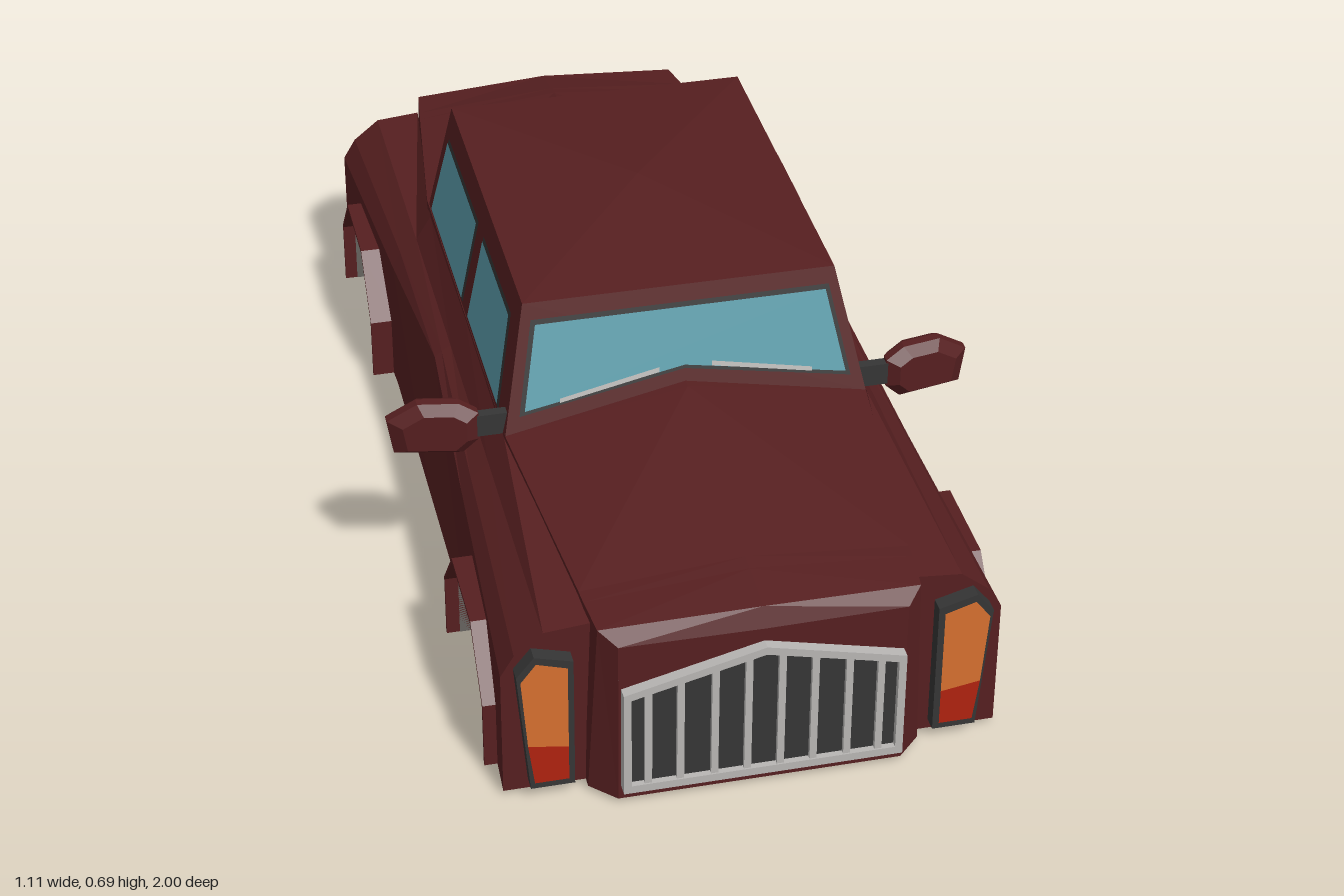
import * as THREE from 'three';

const mat = (name, color) => {
  const m = new THREE.MeshStandardMaterial({ color, side: THREE.DoubleSide });
  m.name = name;
  return m;
};

export function createModel() {
  const red = mat('body maroon', 0x561f20);
  const dark = mat('dark trim', 0x353535);
  const glass = mat('glass', 0x5c9dab);
  const silver = mat('silver', 0xb8b6b4);
  const plateMat = mat('plate white', 0xdededc);
  const grey = mat('underside grey', 0x66635f);
  const orange = mat('amber lamp', 0xd67030);
  const lampRed = mat('red lamp', 0xb0220f);

  const model = new THREE.Group();
  model.name = 'sedanBody';
  const add = (parent, name, geo, material) => {
    const m = new THREE.Mesh(geo, material);
    m.name = name;
    parent.add(m);
    return m;
  };
  const vec = pts => pts.map(p => new THREE.Vector2(...p));
  const shapeOf = (pts, hole) => {
    const s = new THREE.Shape(vec(pts));
    if (hole) s.holes.push(new THREE.Path(vec(hole)));
    return s;
  };

  // Moves every vertex by a rule, then gives flat normals
  const bend = (geo, map) => {
    const g = geo.index ? geo.toNonIndexed() : geo;
    const p = g.attributes.position;
    for (let i = 0; i < p.count; i++) p.setXYZ(i, ...map(p.getX(i), p.getY(i), p.getZ(i)));
    g.computeVertexNormals();
    return g;
  };
  const panel = (pts, map) => bend(new THREE.ShapeGeometry(shapeOf(pts)), map);
  const slab = (pts, depth, map, hole) =>
    bend(new THREE.ExtrudeGeometry(shapeOf(pts, hole), { depth, bevelEnabled: false }), map);

  // Flat-shaded skin over rows of points
  const loft = rows => {
    const v = [];
    for (let i = 0; i < rows.length - 1; i++)
      for (let j = 0; j < rows[i].length - 1; j++) {
        const a = rows[i][j], b = rows[i + 1][j], c = rows[i + 1][j + 1], d = rows[i][j + 1];
        v.push(...a, ...b, ...c, ...a, ...c, ...d);
      }
    const g = new THREE.BufferGeometry();
    g.setAttribute('position', new THREE.Float32BufferAttribute(v, 3));
    g.computeVertexNormals();
    return g;
  };
  const withMirror = pts => [...pts, ...pts.filter(p => p[0] !== 0).reverse().map(([x, y]) => [-x, y])];

  // Wheel arch outline as (distance along z, y), and the lip just inside it
  const arch = [[0.835, 0.01], [0.833, 0.145], [0.73, 0.257], [0.54, 0.257], [0.44, 0.14], [0.44, 0.01]];
  const archLip = [[0.828, 0.01], [0.826, 0.143], [0.727, 0.25], [0.543, 0.25], [0.447, 0.138], [0.447, 0.01]];
  const sideX = u => 0.43 + 0.025 * Math.max(0, (Math.abs(u) - 0.4) / 0.51);
  const wellX = 0.27;

  for (const s of [1, -1]) {
    const half = new THREE.Group();
    half.name = s > 0 ? 'leftSide' : 'rightSide';
    half.scale.x = s;
    model.add(half);

    // Hood, cowl and trunk skin
    add(half, 'hoodAndTrunk', loft([
      [[0.26, 0.01, 0.975], [0.26, 0.355, 0.98], [0, 0.352, 0.98]],
      [[0.305, 0.01, 0.93], [0.29, 0.374, 0.948], [0, 0.39, 0.965]],
      [[0.305, 0.01, 0.87], [0.298, 0.377, 0.87], [0, 0.401, 0.87]],
      [[0.3, 0.26, 0.84], [0.3, 0.378, 0.84], [0, 0.405, 0.84]],
      [[0.345, 0.26, 0.4], [0.345, 0.412, 0.4], [0, 0.472, 0.4]],
      [[0.345, 0.26, -0.45], [0.345, 0.418, -0.45], [0, 0.494, -0.45]],
      [[0.3, 0.26, -0.84], [0.295, 0.383, -0.84], [0, 0.412, -0.84]],
      [[0.305, 0.01, -0.87], [0.291, 0.381, -0.87], [0, 0.406, -0.87]],
      [[0.3, 0.01, -0.92], [0.28, 0.374, -0.952], [0, 0.387, -0.962]],
      [[0.262, 0.01, -0.955], [0.262, 0.31, -0.987], [0, 0.325, -0.987]],
    ]), red);

    // Fender shoulder, rising and tucking in towards the middle of the doors
    const end = z => [[0.455, 0.27, z], [0.43, 0.312, z], [0.378, 0.354, z], [0.29, 0.362, z]];
    const hinge = z => [[0.43, 0.3, z], [0.412, 0.33, z], [0.378, 0.358, z], [0.347, 0.408, z]];
    const middle = [[0.41, 0.336, 0], [0.396, 0.348, 0], [0.378, 0.358, 0], [0.347, 0.415, 0]];
    add(half, 'shoulder', loft([end(0.91), hinge(0.4), middle, hinge(-0.4), end(-0.906)]), red);

    // Doors
    add(half, 'doors', loft([hinge(0.4), middle, hinge(-0.4)].map(([p]) => [[0.43, 0.01, p[2]], p])), red);

    for (const [e, tag, zEnd, lampDepth] of [[1, 'front', 0.91, 0.028], [-1, 'rear', 0.906, 0.015]]) {
      // Fender side with arch opening
      add(half, tag + 'Fender', panel(
        [[zEnd, 0.01], ...arch, [0.4, 0.01], [0.4, 0.3], [zEnd, 0.27]].map(([z, y]) => [-z * e, y]),
        (u, v) => [sideX(u), v, -u]), red);
      // Arch flare
      add(half, tag + 'ArchFlare', slab(
        [...arch, ...[...archLip].reverse()].map(([z, y]) => [-z * e, y]), 0.055,
        (u, v, w) => [0.42 + w, v, -u]), red);
      // Wheel well
      add(half, tag + 'WheelWell', loft([0.45, wellX].map(x => archLip.map(([z, y]) => [x, y - 0.001, z * e]))), grey);
      add(half, tag + 'WellWall', panel(arch.map(([z, y]) => [-z * e, y]), (u, v) => [wellX, v, -u]), grey);

      // Lamp cluster on the fender end
      const lamp = new THREE.Group();
      lamp.name = tag + 'Lamp';
      lamp.scale.z = e;
      half.add(lamp);
      const onLamp = z => (u, v) => [u, v, z];
      const zLens = zEnd + lampDepth + 0.003;
      add(lamp, 'fenderEnd', panel(
        [[0.26, 0.01], [0.455, 0.01], [0.455, 0.27], [0.43, 0.312], [0.378, 0.354], [0.29, 0.362]],
        onLamp(zEnd)), red);
      add(lamp, 'lampFrame', slab([[0.33, 0.03], [0.41, 0.03], [0.432, 0.285], [0.4, 0.325], [0.33, 0.305]], lampDepth,
        (u, v, w) => [u, v, zEnd + w]), dark);
      add(lamp, 'amberLens', panel([[0.341, 0.118], [0.414, 0.13], [0.425, 0.275], [0.397, 0.312], [0.341, 0.294]],
        onLamp(zLens)), orange);
      add(lamp, 'redLens', panel([[0.341, 0.044], [0.403, 0.044], [0.414, 0.13], [0.341, 0.118]],
        onLamp(zLens)), lampRed);
    }

    // Side windows
    const onSide = off => (u, v) => [0.345 - 0.05 * (v - 0.41) / 0.245 + off, v, -u];
    const sideWindows = {
      frontWindow: [[[-0.332, 0.427], [-0.012, 0.427], [-0.012, 0.605], [-0.285, 0.605]],
        [[-0.324, 0.433], [-0.018, 0.433], [-0.018, 0.599], [-0.281, 0.599]]],
      rearWindow: [[[0.042, 0.427], [0.397, 0.427], [0.367, 0.605], [0.042, 0.605]],
        [[0.048, 0.433], [0.389, 0.433], [0.362, 0.599], [0.048, 0.599]]],
    };
    for (const [name, [frame, pane]] of Object.entries(sideWindows)) {
      add(half, name + 'Frame', panel(frame, onSide(0.003)), dark);
      add(half, name, panel(pane, onSide(0.006)), glass);
    }

    // Door mirror, swept back towards its tip
    const arm = add(half, 'mirrorArm', new THREE.BoxGeometry(0.09, 0.045, 0.02), dark);
    arm.position.set(0.375, 0.428, 0.37);
    const sweep = z => (u, v, w) => [u, v, z + w - 0.2 * (u - 0.39)];
    const housing = [[0.39, 0.4], [0.42, 0.37], [0.545, 0.37], [0.556, 0.44], [0.5, 0.477], [0.425, 0.478], [0.39, 0.457]];
    const inner = k => housing.map(([x, y]) => [0.47 + (x - 0.47) * k, 0.424 + (y - 0.424) * k]);
    const ring = (k, z) => [...inner(k), inner(k)[0]].map(([x, y]) => sweep(z)(x, y, 0)).reverse();
    add(half, 'mirrorHousing', loft([ring(0.85, 0.345), ring(1, 0.36), ring(1, 0.378), ring(0.7, 0.398), ring(0, 0.398)]), red);
    add(half, 'mirrorBack', panel(inner(0.85), sweep(0.345)), dark);
    add(half, 'mirrorGlass', panel(inner(0.72).map(([x, y]) => [-x, y]), (u, v) => sweep(0.342)(-u, v, 0)), glass);

    // Tail vent
    const vent = add(half, 'tailVent', new THREE.BoxGeometry(0.215, 0.027, 0.03), dark);
    vent.position.set(0.132, 0.25, -0.984);
    vent.rotation.z = 0.1;

    // Wiper
    add(half, 'wiper', panel([[0.24, 0.468], [0.24, 0.476], [0.05, 0.511], [0.05, 0.502]],
      (u, v) => [u, v, 0.412 - 0.07 * (v - 0.41) / 0.245]), silver);
  }

  // Cabin with a low pyramid roof
  const corners = (x, y, zf, zb) => [[x, y, zb], [x, y, zf], [-x, y, zf], [-x, y, zb], [x, y, zb]];
  add(model, 'cabin', loft([
    corners(0.345, 0.41, 0.4, -0.435), corners(0.295, 0.652, 0.33, -0.405), corners(0, 0.687, -0.02, -0.02),
  ]), red);

  // Windshield and rear window
  const onFront = off => (u, v) => [u, v, 0.4 - 0.07 * (v - 0.41) / 0.242 + off];
  const onBack = off => (u, v) => [-u, v, -0.435 + 0.03 * (v - 0.41) / 0.242 - off];
  for (const [name, map, lift] of [['windshield', onFront, 0], ['rearWindow', onBack, 0.01]]) {
    const frame = withMirror([[0.316, 0.446 + lift], [0.282, 0.622]]).concat([[0, 0.498 + lift]]);
    const pane = withMirror([[0.306, 0.456 + lift], [0.275, 0.614]]).concat([[0, 0.506 + lift]]);
    add(model, name + 'Frame', panel(frame, map(0.003)), dark);
    add(model, name, panel(pane, map(0.006)), glass);
  }

  // Raised lip below the rear window
  add(model, 'rearCowl', slab([[0.335, 0.42], [0.33, 0.452], [0, 0.514], [-0.33, 0.452], [-0.335, 0.42], [0, 0.48]], 0.03,
    (u, v, w) => [-u, v, -0.424 - w]), red);

  // Nose and tail faces
  add(model, 'noseFace', panel(withMirror([[0.26, 0.01], [0.26, 0.355], [0, 0.352]]),
    (u, v) => [u, v, 0.975 + 0.0145 * (v - 0.01)]), red);
  add(model, 'tailFace', panel(withMirror([[0.262, 0.01], [0.262, 0.31], [0, 0.325]]),
    (u, v) => [-u, v, -Math.min(0.987, 0.955 + 0.105 * (v - 0.01))]), red);

  // Grille: dark backing, silver surround and bars
  const grille = new THREE.Group();
  grille.name = 'grille';
  model.add(grille);
  add(grille, 'grilleSurround', slab(withMirror([[0.255, 0.04], [0.255, 0.262], [0, 0.326]]), 0.03,
    (u, v, w) => [u, v, 0.97 + w], withMirror([[0.241, 0.056], [0.241, 0.25], [0, 0.31]])), silver);
  add(grille, 'grilleBacking', panel(withMirror([[0.248, 0.048], [0.248, 0.255], [0, 0.318]]),
    (u, v) => [u, v, 0.988]), dark);
  for (const x of [-0.21, -0.152, -0.09, -0.03, 0.03, 0.09, 0.152, 0.21]) {
    const h = 0.26 - 0.25 * Math.abs(x);
    const bar = add(grille, 'grilleBar', new THREE.BoxGeometry(0.013, h, 0.01), silver);
    bar.position.set(x, 0.053 + h / 2, 0.992);
  }

  // Rear plate on a body-coloured mount
  add(model, 'plateMount', slab(withMirror([[0.158, 0], [0.125, 0.1]]), 0.012,
    (u, v, w) => [-u, v, -0.95 - 0.06 * v - w]), red);
  add(model, 'rearPlate', panel(withMirror([[0.154, 0.004], [0.122, 0.097]]),
    (u, v) => [-u, v, -0.966 - 0.06 * v]), plateMat);

  // Underside: grey pan recessed inside a body-coloured rim, notched for the wells
  const outline = d => {
    const run = e => [[0.26 - d, 0.965 - d], [0.3 - d, 0.906 - d], [0.45 - d, 0.906 - d], [0.45 - d, 0.836 + d / 2],
      [wellX + 0.004 - d, 0.836 + d / 2], [wellX + 0.004 - d, 0.439 - d], [0.428 - d, 0.439 - d]]
      .map(([x, z]) => [x, e * (e < 0 ? Math.min(z, 0.952 - d) : z)]);
    return withMirror([...run(1), ...run(-1).reverse()]);
  };
  add(model, 'undersideRim', slab(outline(0), 0.022, (u, v, w) => [u, 0.032 - w, v], outline(0.012)), red);
  add(model, 'floorPan', panel(outline(0.004), (u, v) => [u, 0.031, v]), grey);

  return model;
}
